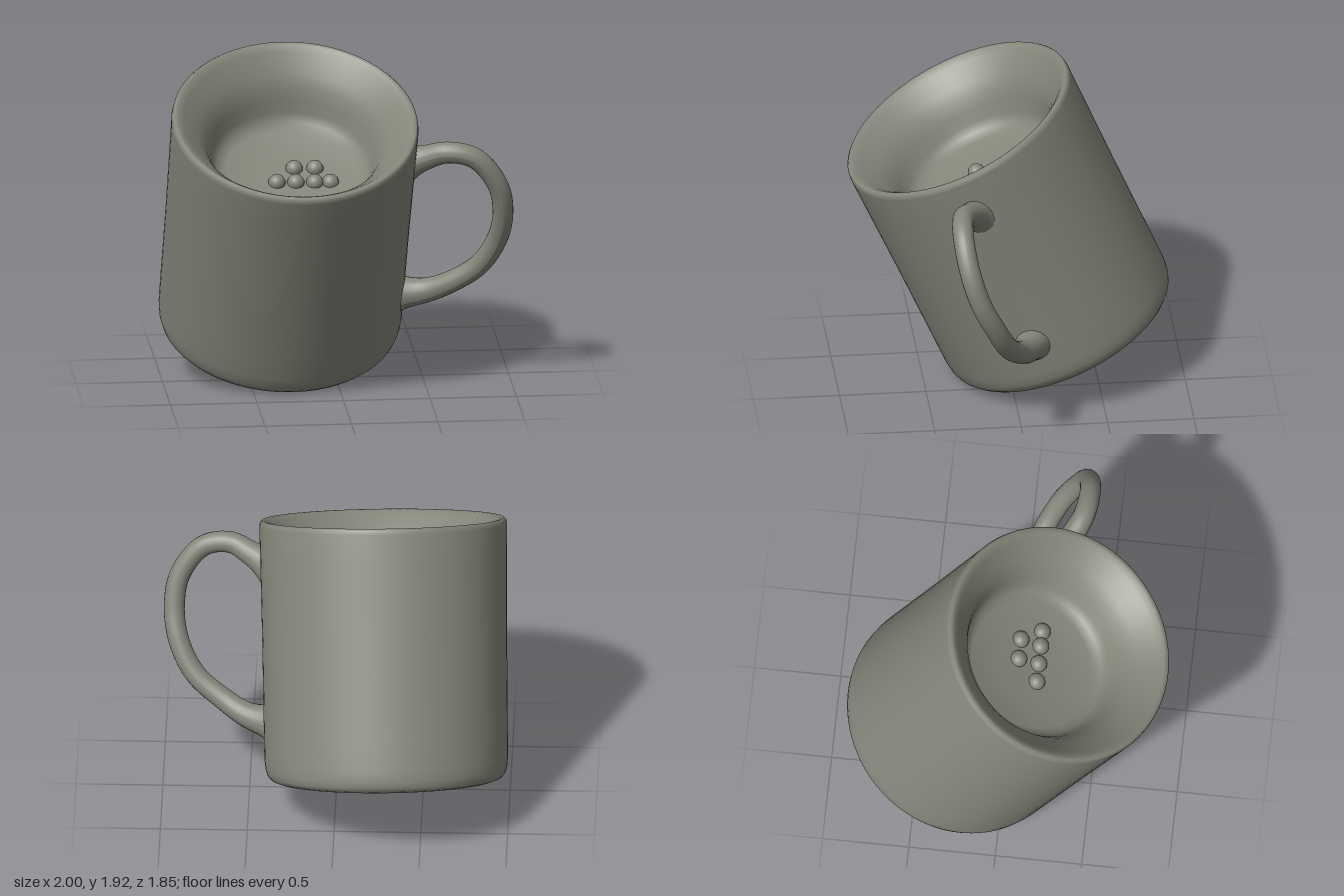
import * as THREE from 'three';

const V = (x, y, z) => new THREE.Vector3(x, y, z);

export function createModel() {
  const model = new THREE.Group();
  model.name = 'tiltedMug';
  const clay = new THREE.MeshStandardMaterial({ color: 0x85867a });
  clay.name = 'grey clay';
  const add = (parent, geometry, name) => {
    const mesh = new THREE.Mesh(geometry, clay);
    mesh.name = name;
    parent.add(mesh);
    return mesh;
  };

  // The cup leans forward, and very slightly to its left
  const cup = new THREE.Group();
  cup.name = 'cup';
  cup.position.set(-0.297, 0.25, -0.318);
  cup.quaternion.setFromUnitVectors(V(0, 1, 0), V(0.025, 0.914, 0.405).normalize());
  model.add(cup);

  // One closed profile: flat base, straight wall, rounded rim, sloping shelf, shallow bowl
  const H = 1.51;
  const profile = [[0, 0], [0.6, 0], [0.63, 0.002], [0.66, 0.012], [0.68, 0.035], [0.691, 0.07],
    [0.697, 0.13], [0.698, 0.3], [0.7, 0.8], [0.706, 1.3], [0.708, H - 0.035], [0.704, H - 0.012],
    [0.692, H], [0.67, H - 0.004], [0.64, H - 0.028], [0.6, H - 0.07], [0.55, H - 0.12],
    [0.507, H - 0.18], [0.477, H - 0.25], [0.455, H - 0.32], [0.43, H - 0.37], [0.38, H - 0.4],
    [0.2, H - 0.42], [0, H - 0.425]].map(([r, y]) => new THREE.Vector2(r, y));
  const body = new THREE.LatheGeometry(profile, 80);
  // Slightly oval section; base and rim are not quite square to the axis
  const bp = body.attributes.position;
  for (let i = 0; i < bp.count; i++) {
    const y = bp.getY(i);
    bp.setXYZ(i, bp.getX(i) * 1.007, y + bp.getZ(i) * (0.02 - 0.046 * y / H), bp.getZ(i) * 0.997);
  }
  add(cup, body, 'cupBody');

  // Small round lumps on the bowl floor
  const lumps = [[-0.25, 0.04], [-0.13, 0.04], [-0.36, 0.16], [-0.25, 0.16], [-0.14, 0.16], [-0.05, 0.16]];
  lumps.forEach(([x, z], i) => {
    add(cup, new THREE.SphereGeometry(0.05, 16, 12), 'lump' + (i + 1))
      .position.set(x + 0.275, H - 0.42, (z - 0.11) * 1.05);
  });

  // Looped handle on the left, flaring where it meets the wall
  const path = new THREE.CatmullRomCurve3([
    V(0.38, 1.335, 0.235), V(0.5, 1.39, 0.29), V(0.62, 1.43, 0.345), V(0.775, 1.395, 0.362),
    V(0.91, 1.22, 0.335), V(0.942, 1.03, 0.275), V(0.91, 0.85, 0.19), V(0.815, 0.685, 0.11),
    V(0.65, 0.565, 0.035), V(0.52, 0.505, -0.03), V(0.37, 0.48, -0.08)]);
  const steps = 72, sides = 20;
  const handle = new THREE.TubeGeometry(path, steps, 0.06, sides);
  const pos = handle.attributes.position;
  const p = V(0, 0, 0);
  for (let i = 0; i <= steps; i++) {
    const t = i / steps;
    const centre = path.getPointAt(t);
    const flare = 1 + 0.9 * Math.exp(-t / 0.05) + 0.8 * Math.exp(-(1 - t) / 0.07);
    for (let j = 0; j <= sides; j++) {
      const k = i * (sides + 1) + j;
      p.fromBufferAttribute(pos, k).sub(centre).multiplyScalar(flare).add(centre);
      pos.setXYZ(k, p.x, p.y, p.z);
    }
  }
  handle.computeVertexNormals();
  add(model, handle, 'handle');
  return model;
}
